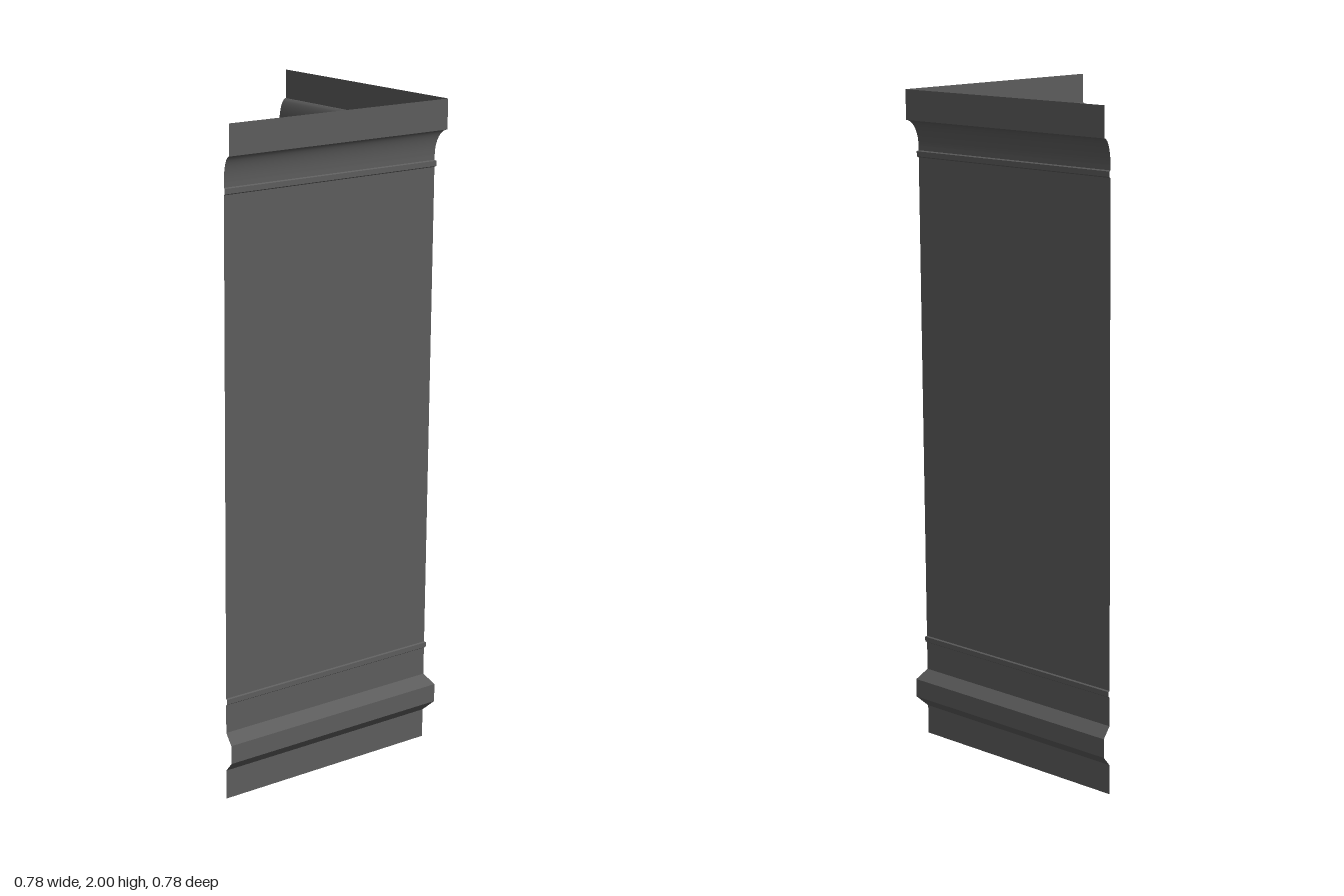
import * as THREE from 'three';
import { toCreasedNormals } from 'three/addons/utils/BufferGeometryUtils.js';

const OUT = 0.389;   // outermost face and free ends of the two wings
const WALL = 0.364;  // plane of the flat panels
const BEAD = 0.368;  // crown of the thin beads

// Sweeps a [distance, height] profile around the mitred L-shaped corner
function cornerStrip(profile) {
  const positions = [];
  const path = ([d, y]) => [[-OUT, y, d], [d, y, d], [d, y, -OUT]];
  for (let i = 0; i < profile.length - 1; i++) {
    const low = path(profile[i]);
    const high = path(profile[i + 1]);
    for (let j = 0; j < 2; j++) {
      positions.push(...low[j], ...low[j + 1], ...high[j + 1]);
      positions.push(...low[j], ...high[j + 1], ...high[j]);
    }
  }
  const geometry = new THREE.BufferGeometry();
  geometry.setAttribute('position', new THREE.Float32BufferAttribute(positions, 3));
  return toCreasedNormals(geometry, 0.35);
}

// Thin half-round bead standing on the wall
function beadProfile(y0, y1) {
  return [[WALL, y0], [BEAD, y0 + 0.003], [BEAD, y1 - 0.003], [WALL, y1]];
}

// Concave quarter curve from the wall out to the cornice
function coveProfile(y0, y1, steps = 10) {
  const points = [];
  for (let i = 0; i <= steps; i++) {
    const t = (i / steps) * Math.PI / 2;
    points.push([WALL + (OUT - WALL) * (1 - Math.cos(t)), y0 + (y1 - y0) * Math.sin(t)]);
  }
  return points;
}

export function createModel() {
  const group = new THREE.Group();
  group.name = 'cornerPanelling';
  const paint = new THREE.MeshStandardMaterial({ color: 0x5c5c5c, side: THREE.DoubleSide });
  paint.name = 'darkGrey';

  // Parts from the floor up
  const parts = {
    plinth: [[WALL, 0], [WALL, 0.09]],
    baseMoulding: [[WALL, 0.09], [OUT, 0.12], [OUT, 0.177], [WALL, 0.21]],
    baseBand: [[WALL, 0.21], [WALL, 0.297]],
    lowerBead: beadProfile(0.297, 0.318),
    mainPanel: [[WALL, 0.318], [WALL, 1.8]],
    upperBead: beadProfile(1.8, 1.821),
    upperBand: [[WALL, 1.821], [WALL, 1.835]],
    cove: coveProfile(1.835, 1.91),
    cornice: [[OUT, 1.91], [OUT, 2]],
  };
  for (const [name, profile] of Object.entries(parts)) {
    const mesh = new THREE.Mesh(cornerStrip(profile), paint);
    mesh.name = name;
    group.add(mesh);
  }
  return group;
}
